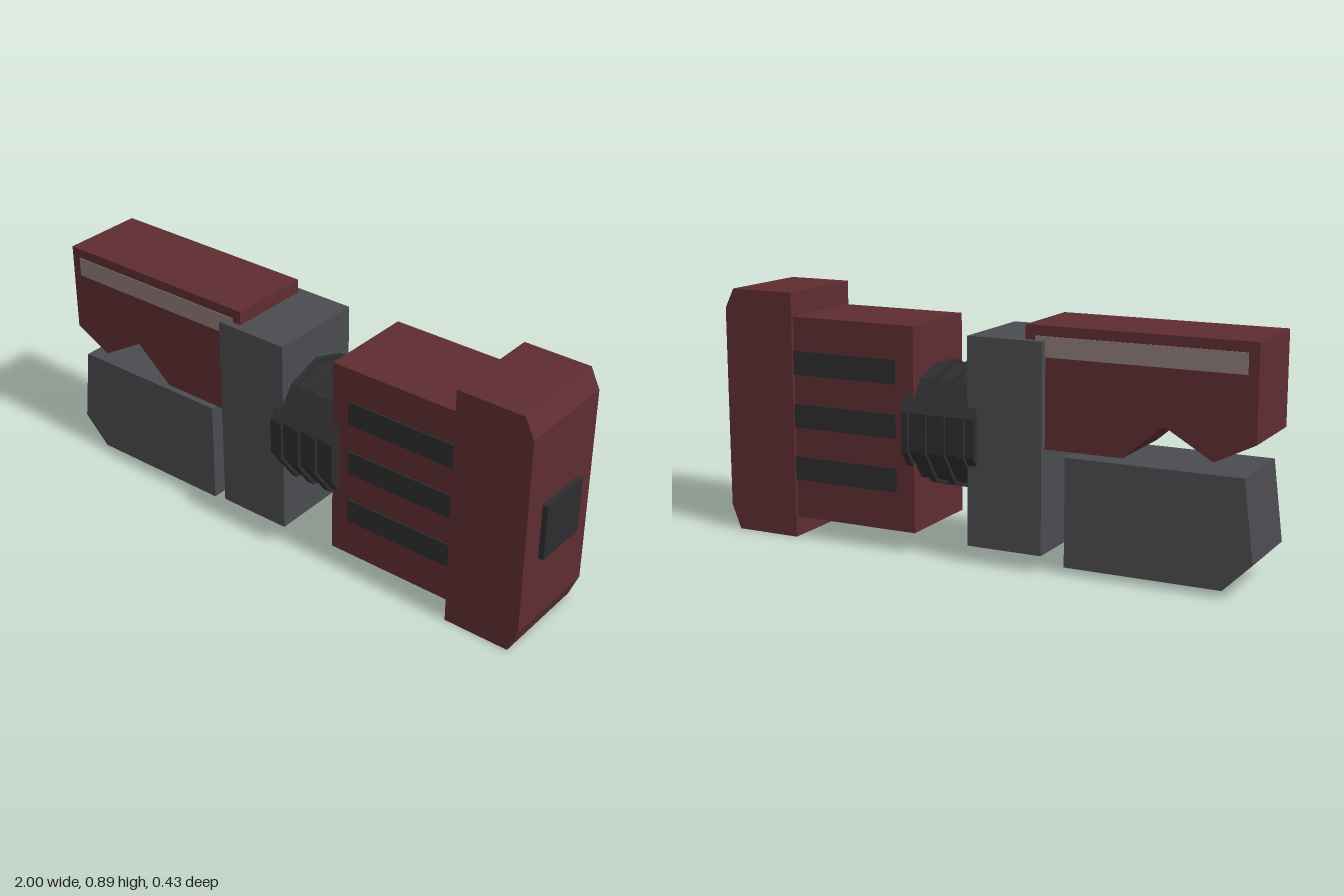
import * as THREE from 'three';

const mat = (color) => new THREE.MeshStandardMaterial({ color, flatShading: true });

export function createModel() {
  const model = new THREE.Group();
  const red = mat(0x5e2d31), grey = mat(0x4a4b4f), dark = mat(0x2d2d2f), pale = mat(0x8c7977);

  const add = (name, geometry, material) => {
    const mesh = new THREE.Mesh(geometry, material);
    mesh.name = name;
    model.add(mesh);
    return mesh;
  };
  // Box given by its x and y limits and its half depth, centred on z
  const box = (name, material, x0, x1, y0, y1, halfZ, z = 0) =>
    add(name, new THREE.BoxGeometry(x1 - x0, y1 - y0, 2 * halfZ), material)
      .position.set((x0 + x1) / 2, (y0 + y1) / 2, z);
  // Side outline extruded symmetrically along z
  const slab = (name, material, outline, halfZ) => {
    const shape = new THREE.Shape(outline.map(([x, y]) => new THREE.Vector2(x, y)));
    const geometry = new THREE.ExtrudeGeometry(shape, { depth: 2 * halfZ, bevelEnabled: false });
    add(name, geometry.translate(0, 0, -halfZ), material);
  };
  // Ten-sided drum along x, with a corner pointing up
  const drum = (name, x0, x1, radius) => {
    const geometry = new THREE.CylinderGeometry(radius, radius, x1 - x0, 10);
    geometry.rotateY(Math.PI / 2).rotateZ(-Math.PI / 2);
    add(name, geometry, dark).position.set((x0 + x1) / 2, 0.44, 0);
  };

  // Jaws
  slab('upperJaw', red, [[-1, 0.51], [-0.86, 0.44], [-0.69, 0.54], [-0.55, 0.42],
    [-0.2, 0.42], [-0.2, 0.835], [-1, 0.835]], 0.153);
  slab('lowerJaw', grey, [[-0.9, 0.022], [-0.345, 0.022], [-0.345, 0.4],
    [-0.965, 0.4], [-1, 0.12]], 0.153);
  for (const side of [-1, 1]) box('jawStripe', pale, -0.965, -0.235, 0.73, 0.8, 0.002, side * 0.1535);
  box('jawBlock', grey, -0.272, 0.005, 0.058, 0.785, 0.18);

  // Ribbed neck
  drum('neck', -0.03, 0.235, 0.215);
  for (const x of [0.013, 0.087, 0.16, 0.23]) drum('neckRing', x - 0.0125, x + 0.0125, 0.228);

  // Handle body with three inset strips on each side
  box('body', red, 0.215, 0.71, 0.073, 0.802, 0.176);
  for (const side of [-1, 1]) {
    for (const y of [0.255, 0.447, 0.638]) {
      box('bodyStrip', dark, 0.283, 0.71, y - 0.043, y + 0.043, 0.004, side * 0.178);
    }
  }

  // End cap and button
  slab('endCap', red, [[0.7, 0], [0.945, 0], [0.98, 0.088], [0.98, 0.817],
    [0.945, 0.888], [0.7, 0.888]], 0.189);
  box('endButton', dark, 0.96, 1, 0.335, 0.54, 0.103);

  return model;
}
